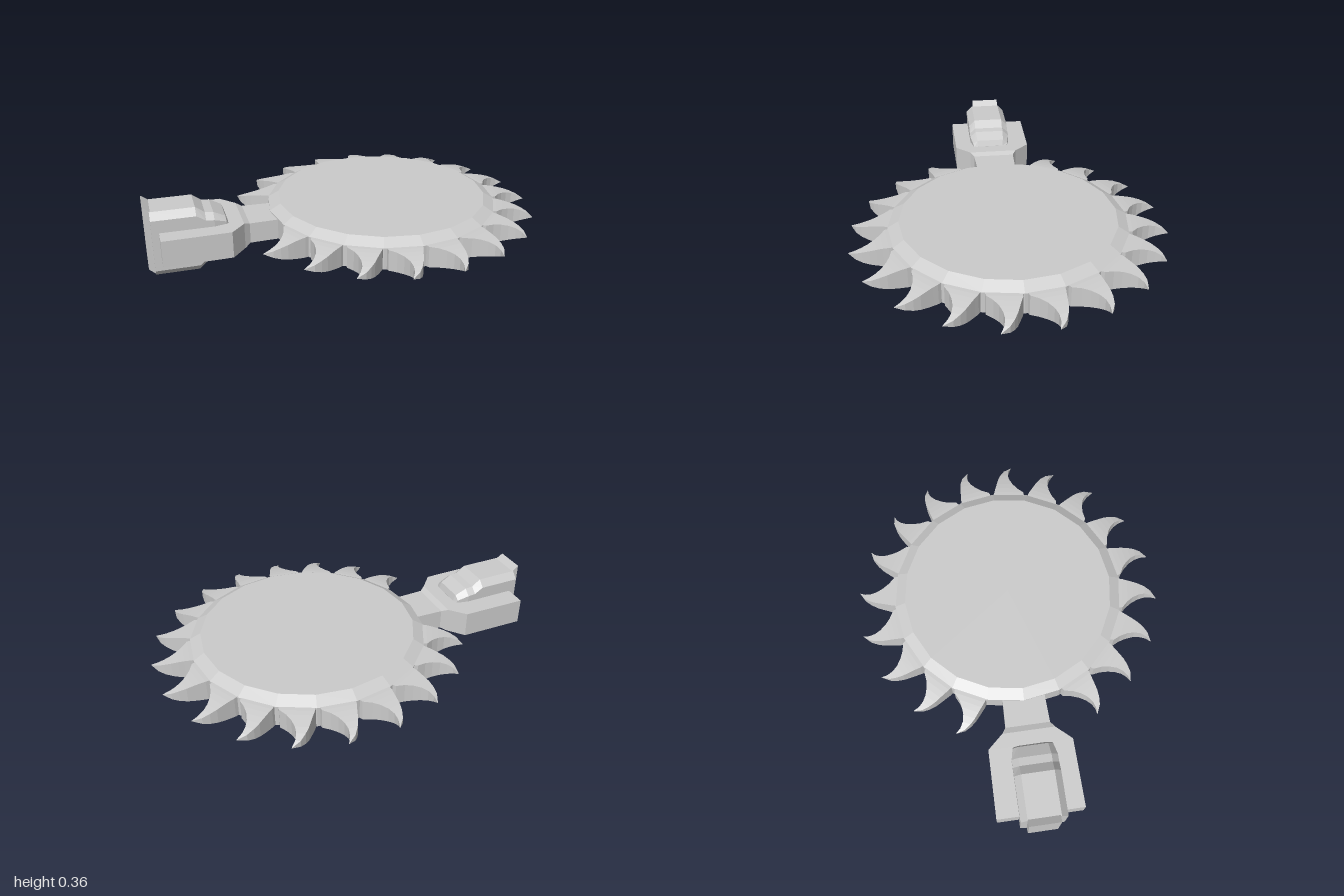
import * as THREE from 'three';

const material = new THREE.MeshStandardMaterial({ color: 0xcccccc, flatShading: true });
const DISC_X = 0.22, MID_Y = 0.175;

// Faceted solid through rings of [y, z] points placed along x, capped at both ends.
function loft(sections) {
  const pos = [];
  const rings = sections.map(([x, ring]) => ring.map(([y, z]) => [x, y, z]));
  const tri = (a, b, c) => pos.push(...a, ...b, ...c);
  const n = rings[0].length;
  for (let i = 0; i < rings.length - 1; i++) {
    for (let j = 0; j < n; j++) {
      const k = (j + 1) % n;
      tri(rings[i][j], rings[i][k], rings[i + 1][k]);
      tri(rings[i][j], rings[i + 1][k], rings[i + 1][j]);
    }
  }
  const first = rings[0], last = rings[rings.length - 1];
  for (let j = 1; j < n - 1; j++) {
    tri(first[0], first[j + 1], first[j]);
    tri(last[0], last[j], last[j + 1]);
  }
  const geometry = new THREE.BufferGeometry();
  geometry.setAttribute('position', new THREE.Float32BufferAttribute(pos, 3));
  geometry.computeVertexNormals();
  return geometry;
}

// Cross-sections, ordered from +y towards +z.
const rect = (y0, y1, z0, z1) => [[y1, z0], [y1, z1], [y0, z1], [y0, z0]];
const octagon = (y0, y1, inner, outer, c) => [
  [y1, -inner], [y1, inner], [y1 - c, outer], [y0 + c, outer],
  [y0, inner], [y0, -inner], [y0 + c, -outer], [y1 - c, -outer],
];

function add(parent, name, geometry) {
  const mesh = new THREE.Mesh(geometry, material);
  mesh.name = name;
  parent.add(mesh);
  return mesh;
}

export function createModel() {
  const model = new THREE.Group();
  model.name = 'sawBladeArm';

  // Bevelled twenty-sided disc
  const profile = [[0, -0.085], [0.54, -0.085], [0.595, -0.055], [0.595, 0.053], [0.54, 0.085], [0, 0.085]]
    .map(([r, y]) => new THREE.Vector2(r, y));
  add(model, 'disc', new THREE.LatheGeometry(profile, 20)).position.set(DISC_X, MID_Y, 0);

  // Hooked teeth: radius, trailing edge, leading edge, half thickness
  const toothGeometry = loft([
    [0.560, -0.090, 0.085, 0.055],
    [0.605, -0.086, 0.075, 0.053],
    [0.632, -0.080, 0.040, 0.050],
    [0.662, -0.074, 0.014, 0.045],
    [0.695, -0.067, -0.005, 0.038],
    [0.728, -0.055, -0.014, 0.029],
    [0.760, -0.037, -0.012, 0.017],
    [0.790, -0.001, 0.001, 0.001],
  ].map(([r, t0, t1, h]) => [r, rect(-h, h, t0, t1)]));
  const teeth = new THREE.Group();
  teeth.name = 'teeth';
  teeth.position.set(DISC_X, MID_Y, 0);
  model.add(teeth);
  for (let i = 0; i < 18; i++) {
    const tooth = add(teeth, 'tooth', toothGeometry);
    tooth.rotation.y = -THREE.MathUtils.degToRad(-153 + 18 * i);
  }

  // Wide arm narrowing into the neck that holds the disc
  add(model, 'arm', loft([
    [-0.935, rect(0.10, 0.235, -0.215, 0.215)],
    [-0.60, rect(0.10, 0.235, -0.21, 0.21)],
    [-0.53, rect(0.103, 0.235, -0.132, 0.132)],
    [-0.50, rect(0.118, 0.223, -0.112, 0.112)],
    [-0.30, rect(0.118, 0.223, -0.105, 0.105)],
  ]));

  // Chamfered housing with stepped nose
  add(model, 'housing', loft([
    [-0.97, octagon(0, 0.335, 0.08, 0.113, 0.035)],
    [-0.755, octagon(0, 0.335, 0.08, 0.113, 0.035)],
    [-0.71, octagon(0.04, 0.302, 0.08, 0.113, 0.03)],
    [-0.67, octagon(0.06, 0.298, 0.08, 0.113, 0.03)],
    [-0.612, octagon(0.08, 0.268, 0.075, 0.1, 0.02)],
    [-0.60, octagon(0.10, 0.236, 0.07, 0.095, 0.01)],
  ])).position.z = 0.008;

  // Raised end plate behind the housing
  add(model, 'endPlate', loft([
    [-1.0, rect(0.03, 0.36, -0.076, 0.076)],
    [-0.965, rect(0, 0.335, -0.078, 0.078)],
  ])).position.z = 0.006;

  return model;
}
